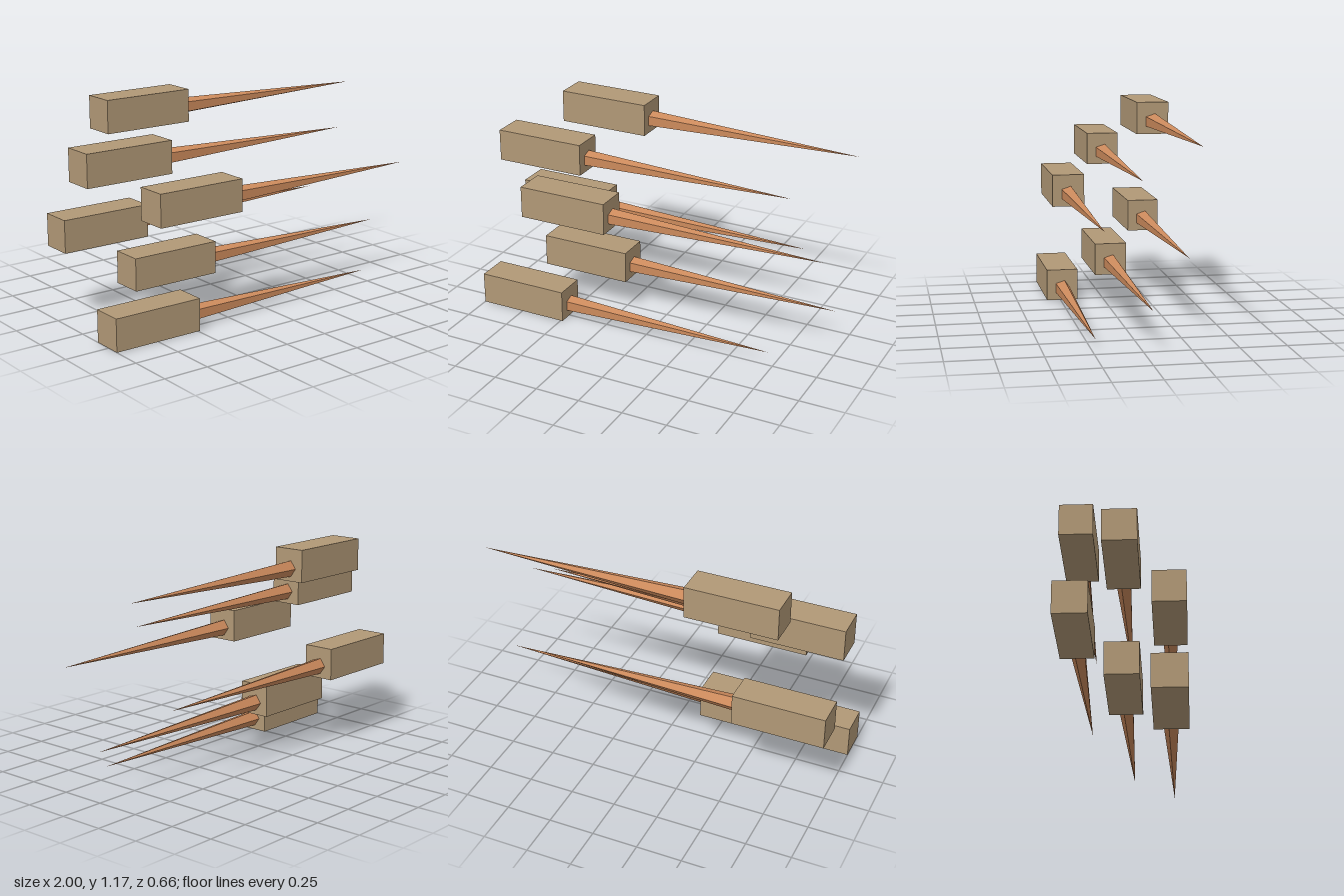
import * as THREE from 'three';

export function createModel() {
  const model = new THREE.Group();
  model.name = 'spikeTrap';

  const stone = new THREE.MeshStandardMaterial({ color: 0xb19876 });
  stone.name = 'tan stone';
  const copper = new THREE.MeshStandardMaterial({ color: 0xcc8a5c, flatShading: true });
  copper.name = 'copper brown';

  const blockLength = 0.512, blockSize = 0.178, spikeLength = 1.212;
  const blockGeometry = new THREE.BoxGeometry(blockLength, blockSize, blockSize);

  // Five-sided spike lying along +x, base at the origin, one edge toward -z
  const spikeGeometry = new THREE.ConeGeometry(0.046, spikeLength, 5, 1, false, Math.PI);
  spikeGeometry.rotateZ(-Math.PI / 2);
  spikeGeometry.translate(spikeLength / 2, 0, 0);

  // Six launchers, stepping upward in two diagonal rows, alternately set forward
  for (let i = 0; i < 6; i++) {
    const launcher = new THREE.Group();
    launcher.name = 'launcher' + (i + 1);
    launcher.position.set(i % 2 ? -0.724 : -1, i * 0.1985, 0.2385 * (1 - (i % 3)));

    const block = new THREE.Mesh(blockGeometry, stone);
    block.name = 'block';
    block.position.set(blockLength / 2, blockSize / 2, 0);

    const spike = new THREE.Mesh(spikeGeometry, copper);
    spike.name = 'spike';
    spike.position.set(blockLength, 0.07, 0);

    launcher.add(block, spike);
    model.add(launcher);
  }
  return model;
}
